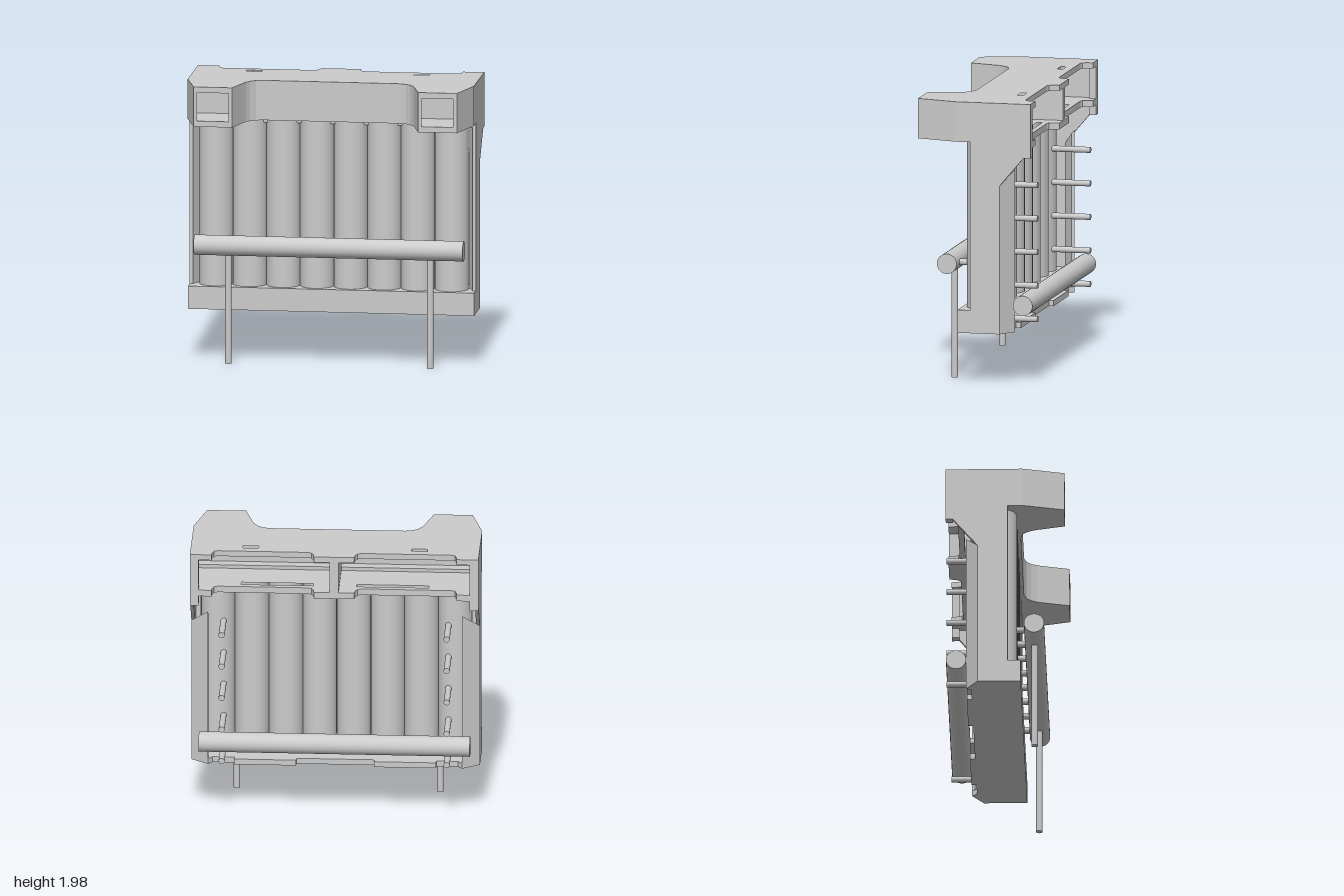
import * as THREE from 'three';

const grey = new THREE.MeshStandardMaterial({ color: 0xcccccc });

export function createModel() {
  const root = new THREE.Group();

  const add = (name, geometry) => {
    const mesh = new THREE.Mesh(geometry, grey);
    mesh.name = name;
    root.add(mesh);
    return mesh;
  };

  // Horizontal slab: plan points [x, z] raised from y0 to y1
  const toV = (p) => new THREE.Vector2(p[0], -p[1]);
  const slab = (name, pts, y0, y1, holes = []) => {
    const shape = new THREE.Shape(pts.map(toV));
    holes.forEach((h) => shape.holes.push(new THREE.Path(h.map(toV))));
    const g = new THREE.ExtrudeGeometry(shape, { depth: y1 - y0, bevelEnabled: false });
    return add(name, g.rotateX(-Math.PI / 2).translate(0, y0, 0));
  };
  const flip = (pts) => pts.map(([x, z]) => [-x, z]);
  const full = (half) => [...half, ...flip(half).reverse()];
  const rect = (x0, x1, z0, z1) => [[x0, z0], [x1, z0], [x1, z1], [x0, z1]];
  const both = (pts) => [pts, flip(pts)];

  const box = (name, x0, x1, y0, y1, z0, z1) =>
    add(name, new THREE.BoxGeometry(x1 - x0, y1 - y0, z1 - z0)
      .translate((x0 + x1) / 2, (y0 + y1) / 2, (z0 + z1) / 2));

  // Round rod centred at (x, y, z) along the given axis
  const rod = (name, r, length, axis, x, y, z, sides = 24) => {
    const g = new THREE.CylinderGeometry(r, r, length, sides);
    if (axis === 'x') g.rotateZ(Math.PI / 2);
    if (axis === 'z') g.rotateX(Math.PI / 2);
    return add(name, g.translate(x, y, z));
  };

  // Recess with rounded inner corners along the back edge of the head
  const notch = [[0.14, -0.41], [0.145, -0.37], [0.16, -0.34], [0.19, -0.33],
    [0.81, -0.33], [0.835, -0.34], [0.845, -0.37], [0.85, -0.41]];
  // Inner side of a head arm, sweeping round into the front wall
  const sweep = [[0.65, 0.41], [0.6, 0.23], [0.585, 0.185], [0.56, 0.145],
    [0.525, 0.115], [0.47, 0.1]];
  const arm = [[1, 0.12], [0.92, 0.41], ...sweep];

  // Head: roof, front floor and notched rear shelf
  slab('headRoof', full([...notch, [1, -0.41], ...arm]), 1.94, 1.98,
    both(rect(0.53, 0.64, -0.27, -0.23)));
  slab('headFloor', full([[0.98, 0], ...arm]), 1.7, 1.74);
  slab('headShelf', full([...notch, [0.98, -0.41], [0.98, 0.02]]), 1.67, 1.715,
    both(rect(0.15, 0.65, -0.29, -0.25)));
  box('headFrontWall', -0.98, 0.98, 1.7, 1.96, 0.07, 0.1);
  box('headDivider', -0.03, 0.03, 1.7, 1.96, -0.41, 0.08);

  // Bottom tray, open towards the back, with two tabs on its rear edge
  const tray = full([[0.27, -0.235], [0.27, -0.27], [0.7, -0.27], [0.7, -0.235],
    [0.85, -0.235], [0.88, -0.27], [1, -0.19], [1, 0.11]]);
  slab('trayFloor', tray, 0.36, 0.4);
  slab('trayTop', tray, 0.48, 0.52);
  box('trayFront', -1, 1, 0.36, 0.52, 0.08, 0.11);

  // Side profile as [z, y]
  const profile = [[-0.41, 1.98], [-0.41, 1.6], [-0.36, 1.6], [-0.19, 1.4],
    [-0.19, 0.36], [0.02, 0.36], [0.02, 1.7], [0.12, 1.7], [0.12, 1.98]];

  for (const s of [-1, 1]) {
    const side = s > 0 ? 'left' : 'right';
    const m = (pts) => (s > 0 ? pts : flip(pts));

    const shape = new THREE.Shape(profile.map(([z, y]) => new THREE.Vector2(-z, y)));
    add(side + 'SideWall', new THREE.ExtrudeGeometry(shape, { depth: 0.025, bevelEnabled: false })
      .rotateY(Math.PI / 2).translate(s > 0 ? 0.975 : -1, 0, 0));
    box(side + 'HeadCheek', s > 0 ? 0.94 : -0.98, s > 0 ? 0.98 : -0.94, 1.6, 1.96, -0.41, -0.36);
    box(side + 'TraySide', s > 0 ? 0.97 : -1, s > 0 ? 1 : -0.97, 0.36, 0.52, 0, 0.11);

    // Hollow arm at the front of the head
    slab(side + 'ArmOuterWall', m([[1, 0.12], [0.92, 0.41], [0.895, 0.41], [0.965, 0.12], [0.965, 0.08], [1, 0.08]]), 1.7, 1.98);
    slab(side + 'ArmInnerWall', m([...sweep, [0.47, 0.075],
      ...sweep.slice(0, 5).reverse().map(([x, z]) => [x + 0.025, Math.max(z, 0.09)])]), 1.7, 1.98);

    // Slanted strip between side wall and outer tube
    slab(side + 'InnerStrip', m([[0.98, 0.02], [0.98, -0.08], [0.94, -0.08]]), 0.5, 1.7);

    // Angled rear panel with a sloping top
    const panel = slab(side + 'RearPanel', m([[1, -0.19], [0.88, -0.27], [0.88, -0.25], [0.975, -0.185]]), 0.36, 1.4);
    const p = panel.geometry.attributes.position;
    for (let i = 0; i < p.count; i++) {
      if (p.getY(i) > 1) p.setY(i, 1.4 + (-0.19 - p.getZ(i)) * 1.25);
    }
    panel.geometry.computeVertexNormals();

    rod(side + 'Leg', 0.023, 0.8, 'y', s * 0.705, 0.4, 0.2, 16);

    // Column of pegs at the back
    for (let i = 0; i < 5; i++) {
      rod(side + 'Peg', 0.021, 0.33, 'z', s * 0.78, 0.44 + i * 0.235, -0.245, 16);
    }
  }

  // Row of eight upright tubes, each with a standoff to the front bar
  for (let i = 0; i < 8; i++) {
    const x = (i - 3.5) * 0.235;
    rod('tube', 0.1175, 1.2, 'y', x, 1.1, -0.037, 32);
    rod('standoff', 0.023, 0.14, 'z', x, 0.83, 0.12, 16);
  }

  rod('frontBar', 0.07, 1.88, 'x', 0, 0.83, 0.2, 32);
  rod('rearBar', 0.07, 1.88, 'x', 0, 0.555, -0.34, 32);

  return root;
}
